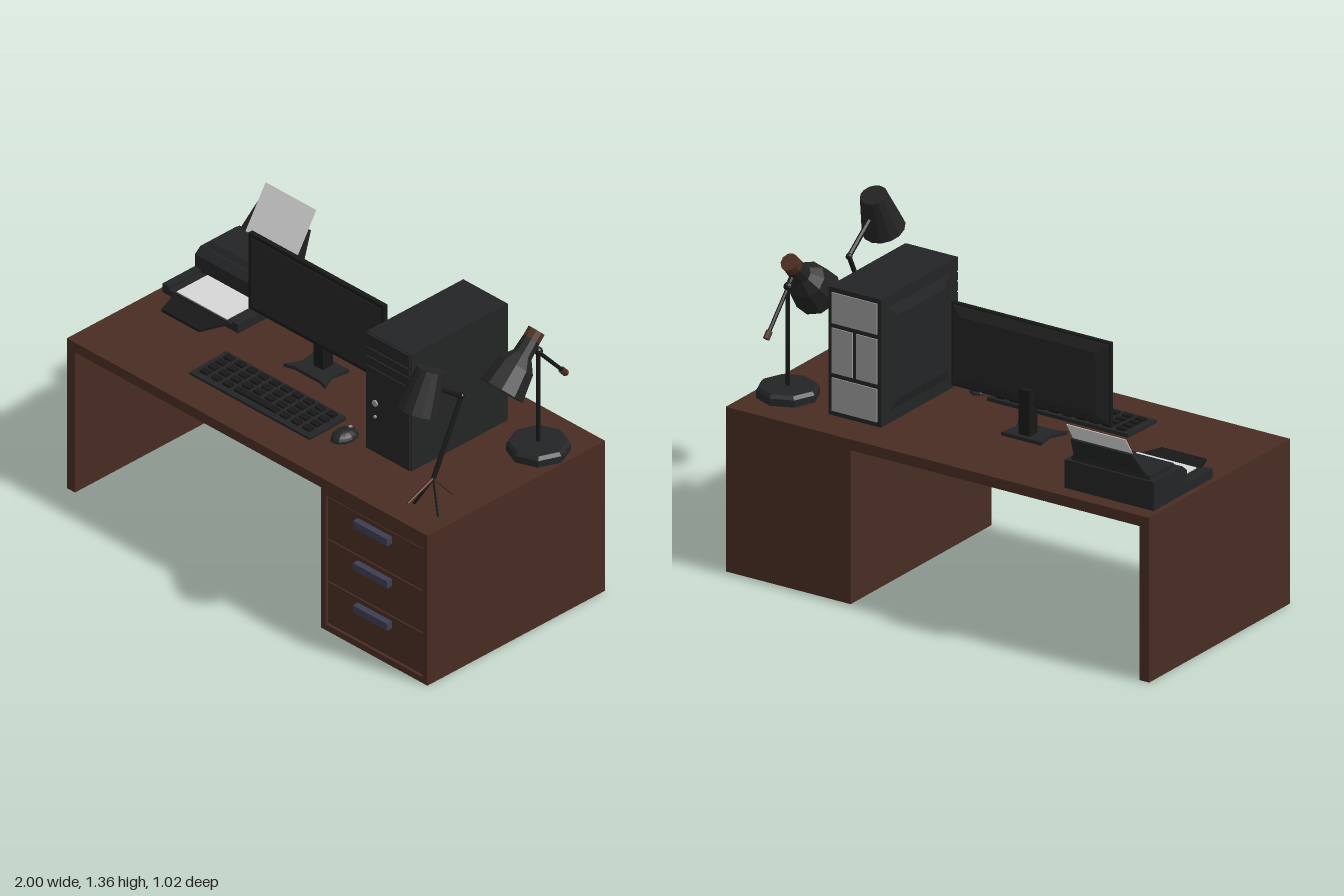
import * as THREE from 'three';

const mat = (name, color, extra = {}) => {
  const m = new THREE.MeshStandardMaterial({ color, ...extra });
  m.name = name;
  return m;
};
const M = {
  wood: mat('desk wood', 0x482c22),
  body: mat('charcoal plastic', 0x232425, { flatShading: true }),
  dark: mat('black plastic', 0x181818, { flatShading: true }),
  screen: mat('screen', 0x252526),
  handle: mat('handle metal', 0x3d3d52),
  grey: mat('grey metal', 0x9a9a9a),
  paper: mat('paper', 0xd6d6d6, { side: THREE.DoubleSide }),
  lampWood: mat('lamp wood', 0x4f2f20, { flatShading: true }),
  shade: mat('lamp shade', 0x232323, { flatShading: true, side: THREE.DoubleSide }),
};
const TOP = 0.695;
const V = (x, y, z) => new THREE.Vector3(x, y, z);

function add(parent, name, geo, material) {
  const m = new THREE.Mesh(geo, material);
  m.name = name;
  parent.add(m);
  return m;
}
// box given by its minimum and maximum on each axis
function box(parent, name, material, x0, x1, y0, y1, z0, z1) {
  const m = add(parent, name, new THREE.BoxGeometry(x1 - x0, y1 - y0, z1 - z0), material);
  m.position.set((x0 + x1) / 2, (y0 + y1) / 2, (z0 + z1) / 2);
  return m;
}
// geometry built along +y is placed from a towards b
function aim(mesh, a, b) {
  mesh.position.copy(a);
  mesh.quaternion.setFromUnitVectors(V(0, 1, 0), b.clone().sub(a).normalize());
  return mesh;
}
function rod(parent, name, material, a, b, r, sides = 6) {
  const len = a.distanceTo(b);
  const g = new THREE.CylinderGeometry(r, r, len, sides).translate(0, len / 2, 0);
  return aim(add(parent, name, g, material), a, b);
}
const outline = pts => new THREE.Shape(pts.map(p => new THREE.Vector2(...p)));
const extrude = (pts, depth) => new THREE.ExtrudeGeometry(outline(pts), { depth, bevelEnabled: false });
const lathe = (pts, n) => new THREE.LatheGeometry(pts.map(p => new THREE.Vector2(...p)), n);
function group(parent, name) {
  const g = new THREE.Group();
  g.name = name;
  parent.add(g);
  return g;
}
// box whose +z face is scaled by sx, sy
function taperedBox(w, h, d, sx, sy) {
  const g = new THREE.BoxGeometry(w, h, d), p = g.attributes.position;
  for (let i = 0; i < p.count; i++)
    if (p.getZ(i) > 0) p.setXY(i, p.getX(i) * sx, p.getY(i) * sy);
  g.computeVertexNormals();
  return g;
}

function desk(root) {
  const g = group(root, 'desk');
  box(g, 'desktop', M.wood, -1, 1, 0.65, TOP, -0.487, 0.487);
  box(g, 'legPanel', M.wood, -1, -0.955, 0, 0.65, -0.487, 0.487);
  // drawer cabinet, open underneath
  box(g, 'cabinetOuterSide', M.wood, 0.99, 1, 0, 0.65, -0.487, 0.487);
  box(g, 'cabinetInnerSide', M.wood, 0.41, 0.42, 0, 0.65, -0.487, 0.487);
  box(g, 'cabinetBack', M.wood, 0.42, 0.99, 0, 0.65, -0.487, -0.477);
  const s = outline([[0.42, 0], [0.99, 0], [0.99, 0.65], [0.42, 0.65]]);
  s.holes.push(new THREE.Path([[0.438, 0.028], [0.438, 0.625], [0.972, 0.625], [0.972, 0.028]].map(p => new THREE.Vector2(...p))));
  add(g, 'drawerFrame', new THREE.ExtrudeGeometry(s, { depth: 0.02, bevelEnabled: false }), M.wood).position.z = 0.467;
  box(g, 'drawerGap', M.dark, 0.438, 0.972, 0.028, 0.625, 0.462, 0.467);
  for (let i = 0; i < 3; i++) {
    const y = 0.035 + i * 0.196;
    box(g, 'drawerFront', M.wood, 0.443, 0.967, y, y + 0.19, 0.464, 0.482);
    box(g, 'drawerHandle', M.handle, 0.61, 0.80, y + 0.138, y + 0.17, 0.482, 0.51);
  }
}

function monitor(root) {
  const g = group(root, 'monitor');
  g.position.x = -0.145;
  box(g, 'monitorCase', M.dark, -0.375, 0.375, 0.82, 1.17, -0.055, -0.034);
  box(g, 'screen', M.screen, -0.357, 0.357, 0.837, 1.153, -0.034, -0.031);
  const back = add(g, 'monitorBack', taperedBox(0.74, 0.34, 0.018, 0.86, 0.76), M.body);
  back.rotation.y = Math.PI;
  back.position.set(0, 0.995, -0.064);
  box(g, 'standColumn', M.dark, -0.026, 0.026, 0.705, 0.9, -0.1, -0.07);
  box(g, 'standNeck', M.dark, -0.026, 0.026, 0.705, 0.82, -0.075, -0.045);
  // shape y becomes -z
  const foot = extrude([[-0.095, 0.12], [-0.08, 0.04], [-0.115, -0.03], [-0.07, -0.015],
    [0.07, -0.015], [0.115, -0.03], [0.08, 0.04], [0.095, 0.12]], 0.015);
  const f = add(g, 'standFoot', foot, M.body);
  f.rotation.x = -Math.PI / 2;
  f.position.y = TOP;
}

function keyboardAndMouse(root) {
  const g = group(root, 'keyboard');
  g.position.set(-0.145, TOP + 0.007, 0.23);
  g.rotation.x = 0.04;
  box(g, 'keyboardBase', M.body, -0.333, 0.333, -0.007, 0.008, -0.1, 0.1);
  for (let r = 0; r < 4; r++) for (let c = 0; c < 10; c++) {
    if (r === 3 && c > 3 && c < 6) continue;
    const x = -0.285 + c * 0.0633, z = -0.07 + r * 0.043;
    box(g, 'key', M.dark, x - 0.02, x + 0.02, 0.008, 0.018, z - 0.014, z + 0.014);
  }
  box(g, 'spaceBar', M.dark, -0.075, 0.075, 0.008, 0.018, 0.045, 0.073);

  const m = group(root, 'mouse');
  m.position.set(0.267, TOP, 0.217);
  const shell = new THREE.SphereGeometry(1, 12, 6, 0, Math.PI * 2, 0, Math.PI / 2).scale(0.047, 0.038, 0.064);
  add(m, 'mouseShell', shell, M.body);
  const wheel = add(m, 'mouseWheel', new THREE.CylinderGeometry(0.009, 0.009, 0.008, 10).rotateZ(Math.PI / 2), M.grey);
  wheel.position.set(0, 0.031, -0.032);
}

function computer(root) {
  const g = group(root, 'computerTower');
  box(g, 'towerCase', M.body, 0.38, 0.627, TOP, 1.235, -0.322, 0.205);
  // front panel with drive bays and buttons
  box(g, 'frontPanel', M.body, 0.383, 0.624, 0.70, 1.083, 0.205, 0.215);
  for (const [a, b] of [[1.09, 1.127], [1.134, 1.168], [1.175, 1.232]])
    box(g, 'driveBay', M.body, 0.383, 0.624, a, b, 0.205, 0.215);
  box(g, 'frontSeams', M.dark, 0.382, 0.625, 0.70, 1.23, 0.205, 0.208);
  for (const [y, r] of [[0.93, 0.014], [0.868, 0.007]]) {
    const b = add(g, 'button', new THREE.CylinderGeometry(r, r, 0.008, 14).rotateX(Math.PI / 2), M.grey);
    b.position.set(0.437, y, 0.217);
  }
  // raised side cover
  const cover = add(g, 'sideCover', taperedBox(0.42, 0.44, 0.014, 0.78, 0.8), M.body);
  cover.rotation.y = -Math.PI / 2;
  cover.position.set(0.373, 0.965, -0.06);
  // rear plates
  const plates = [[0.397, 0.61, 1.085, 1.215], [0.397, 0.495, 0.875, 1.065], [0.512, 0.61, 0.875, 1.065], [0.397, 0.61, 0.715, 0.855]];
  for (const [x0, x1, y0, y1] of plates) box(g, 'rearPlate', M.grey, x0, x1, y0, y1, -0.327, -0.322);
}

function printer(root) {
  const g = group(root, 'printer');
  const W = 0.42;
  // side profile: shape x is z, extruded across x
  const across = (name, pts, w, material) => {
    const m = add(g, name, extrude(pts, w).rotateY(-Math.PI / 2), material);
    m.position.x = -0.765 + w / 2;
    return m;
  };
  across('printerBody', [[-0.42, TOP], [-0.19, TOP], [-0.19, 0.79], [-0.22, 0.815], [-0.42, 0.815]], W, M.body);
  across('printerLid', [[-0.41, 0.815], [-0.23, 0.815], [-0.25, 0.835], [-0.41, 0.835]], 0.37, M.body);
  box(g, 'outputTray', M.body, -0.975, -0.555, TOP, 0.722, -0.2, -0.012);
  for (const x of [-0.975, -0.59]) box(g, 'trayRail', M.body, x, x + 0.035, 0.722, 0.735, -0.2, -0.012);
  const lip = add(g, 'trayLip', extrude([[-0.145, 0], [-0.105, -0.11], [0.105, -0.11], [0.145, 0]], 0.012), M.dark);
  lip.rotation.x = -Math.PI / 2;
  lip.position.set(-0.765, 0.702, -0.012);
  box(g, 'printedSheet', M.paper, -0.905, -0.625, 0.722, 0.726, -0.2, -0.02);
  // sloped paper support and sheet
  const slope = group(g, 'paperFeed');
  slope.position.set(-0.765, 0.825, -0.395);
  slope.rotation.x = -0.56;
  add(slope, 'paperSupport', extrude([[-0.175, 0], [0.175, 0], [0.145, 0.135], [-0.145, 0.135]], 0.008), M.body).position.z = -0.01;
  box(slope, 'feedSheet', M.paper, -0.14, 0.14, 0, 0.218, 0, 0.003);
}

function tripodLamp(root) {
  const g = group(root, 'tripodLamp'), X = 0.865;
  const hub = V(X, 0.825, 0.32), elbow = V(X, 1.137, 0.167);
  for (const [dx, y, z] of [[-0.068, TOP, 0.36], [0.068, TOP, 0.36]])
    rod(g, 'tripodLeg', M.dark, hub, V(X + dx, y, z), 0.006);
  for (const [y, z] of [[0.77, 0.46], [0.705, 0.215]])
    rod(g, 'woodenLeg', M.lampWood, hub, V(X, y, z), 0.005);
  rod(g, 'lowerArm', M.dark, hub, elbow, 0.01);
  rod(g, 'upperArm', M.dark, elbow, V(X, 1.25, 0.32), 0.01);
  add(g, 'elbowJoint', new THREE.SphereGeometry(0.014, 8, 6), M.dark).position.copy(elbow);
  const shade = lathe([[0, 0], [0.055, 0], [0.088, 0.178], [0.082, 0.176], [0.05, 0.01]], 14);
  aim(add(g, 'tripodLampShade', shade, M.shade), V(X, 1.338, 0.336), V(X, 1.175, 0.406));
  add(g, 'tripodLampBulb', new THREE.SphereGeometry(0.035, 10, 8), M.dark).position.set(X, 1.22, 0.387);
}

function poleLamp(root) {
  const g = group(root, 'poleLamp'), X = 0.865, Z = -0.255;
  const base = lathe([[0, 0], [0.127, 0], [0.127, 0.03], [0.115, 0.044], [0, 0.044]], 8);
  add(g, 'lampBase', base, M.body).position.set(X, TOP, Z);
  rod(g, 'lampPole', M.dark, V(X, 0.735, Z), V(X, 1.17, Z), 0.009);
  rod(g, 'crossArm', M.dark, V(X, 1.21, -0.2), V(X, 0.995, -0.397), 0.008);
  rod(g, 'armTip', M.lampWood, V(X, 1.01, -0.382), V(X, 0.985, -0.405), 0.014, 8);
  add(g, 'armJoint', new THREE.SphereGeometry(0.018, 8, 6), M.dark).position.set(X, 1.155, Z);
  const a = V(X, 1.255, -0.245), b = V(X, 1.055, -0.045);
  rod(g, 'woodenCap', M.lampWood, a, a.clone().lerp(b, 0.14), 0.038, 10);
  const shade = lathe([[0, 0.04], [0.038, 0.04], [0.043, 0.11], [0.08, 0.16], [0.1, 0.272], [0.094, 0.27], [0.072, 0.165], [0.03, 0.12]], 10);
  aim(add(g, 'poleLampShade', shade, M.shade), a, b);
  add(g, 'poleLampBulb', new THREE.SphereGeometry(0.042, 12, 8), M.paper).position.copy(a.clone().lerp(b, 0.68));
}

export function createModel() {
  const root = new THREE.Group();
  root.name = 'officeDesk';
  for (const build of [desk, monitor, keyboardAndMouse, computer, printer, tripodLamp, poleLamp]) build(root);
  return root;
}
